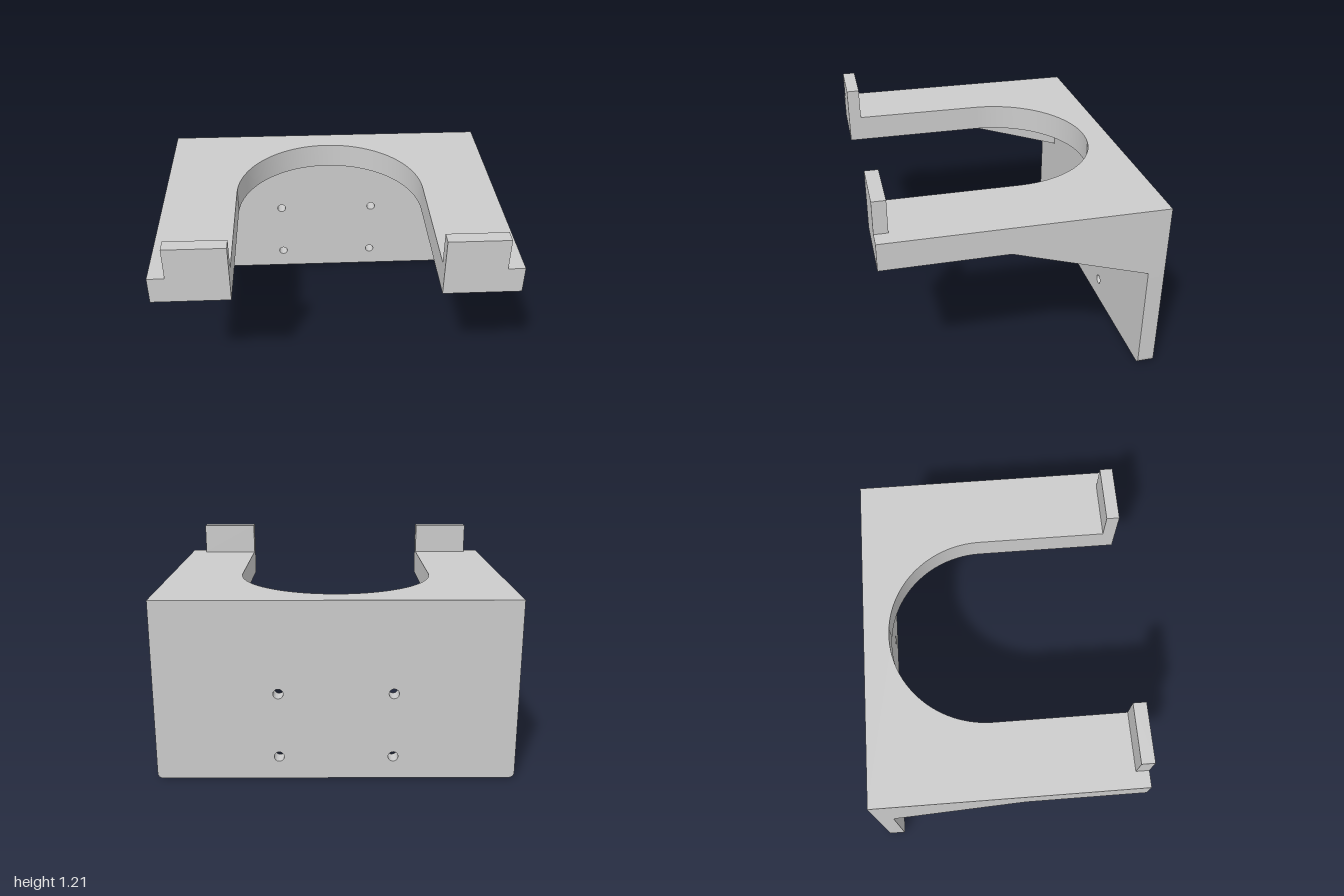
import * as THREE from 'three';
import { toCreasedNormals } from 'three/addons/utils/BufferGeometryUtils.js';

const BACK = -0.775, FRONT = 0.775, WALL = -0.68; // z of rear face, front face, wall's inner face
const UNDER = 0.87, TOP = 1.025; // shelf underside and top
const INNER = 0.567; // half width of the cutout

const material = new THREE.MeshStandardMaterial({ color: 0xcccccc });

function extrude(shape, depth) {
  return new THREE.ExtrudeGeometry(shape, { depth, bevelEnabled: false, curveSegments: 40 });
}

function addMesh(parent, name, geometry) {
  const mesh = new THREE.Mesh(toCreasedNormals(geometry, 0.5), material);
  mesh.name = name;
  parent.add(mesh);
  return mesh;
}

export function createModel() {
  const model = new THREE.Group();
  model.name = 'wallBracket';

  // Horizontal shelf with a U-shaped cutout open to the front (shape y = -z)
  const shelf = new THREE.Shape();
  shelf.moveTo(-1, -FRONT);
  shelf.lineTo(-INNER, -FRONT);
  shelf.lineTo(-INNER, 0.06);
  shelf.absarc(0, 0.06, INNER, Math.PI, 0, true);
  shelf.lineTo(INNER, -FRONT);
  shelf.lineTo(1, -FRONT);
  shelf.lineTo(1, -BACK);
  shelf.lineTo(-1, -BACK);
  shelf.closePath();
  addMesh(model, 'shelf', extrude(shelf, TOP - UNDER).rotateX(-Math.PI / 2).translate(0, UNDER, 0));

  // Back plate with rounded lower corners and four screw holes
  const r = 0.03;
  const plate = new THREE.Shape();
  plate.moveTo(-1, UNDER);
  plate.lineTo(-1, r);
  plate.absarc(-1 + r, r, r, Math.PI, 1.5 * Math.PI, false);
  plate.lineTo(1 - r, 0);
  plate.absarc(1 - r, r, r, 1.5 * Math.PI, 2 * Math.PI, false);
  plate.lineTo(1, UNDER);
  plate.closePath();
  for (const x of [-0.317, 0.317]) {
    for (const y of [0.13, 0.5]) {
      const hole = new THREE.Path();
      hole.absarc(x, y, 0.028, 0, 2 * Math.PI, true);
      plate.holes.push(hole);
    }
  }
  addMesh(model, 'backPlate', extrude(plate, WALL - BACK).translate(0, 0, BACK));

  // Triangular rib profile (shape x = z)
  const rib = new THREE.Shape();
  rib.moveTo(WALL, UNDER);
  rib.lineTo(WALL, 0.63);
  rib.lineTo(0.09, UNDER);
  rib.closePath();

  for (const [side, sign] of [['left', 1], ['right', -1]]) {
    // Two ribs under each arm
    for (const [name, x] of [['InnerRib', 0.735], ['OuterRib', 0.97]]) {
      const geometry = extrude(rib, 0.06).rotateY(-Math.PI / 2).translate(0.03 + sign * x, 0, 0);
      addMesh(model, side + name, geometry);
    }
    // Upright stop at the arm's front end
    const stop = addMesh(model, side + 'Stop', new THREE.BoxGeometry(0.338, 0.185, 0.075));
    stop.position.set(sign * (INNER + 0.169), TOP + 0.0925, FRONT - 0.0375);
  }

  return model;
}
